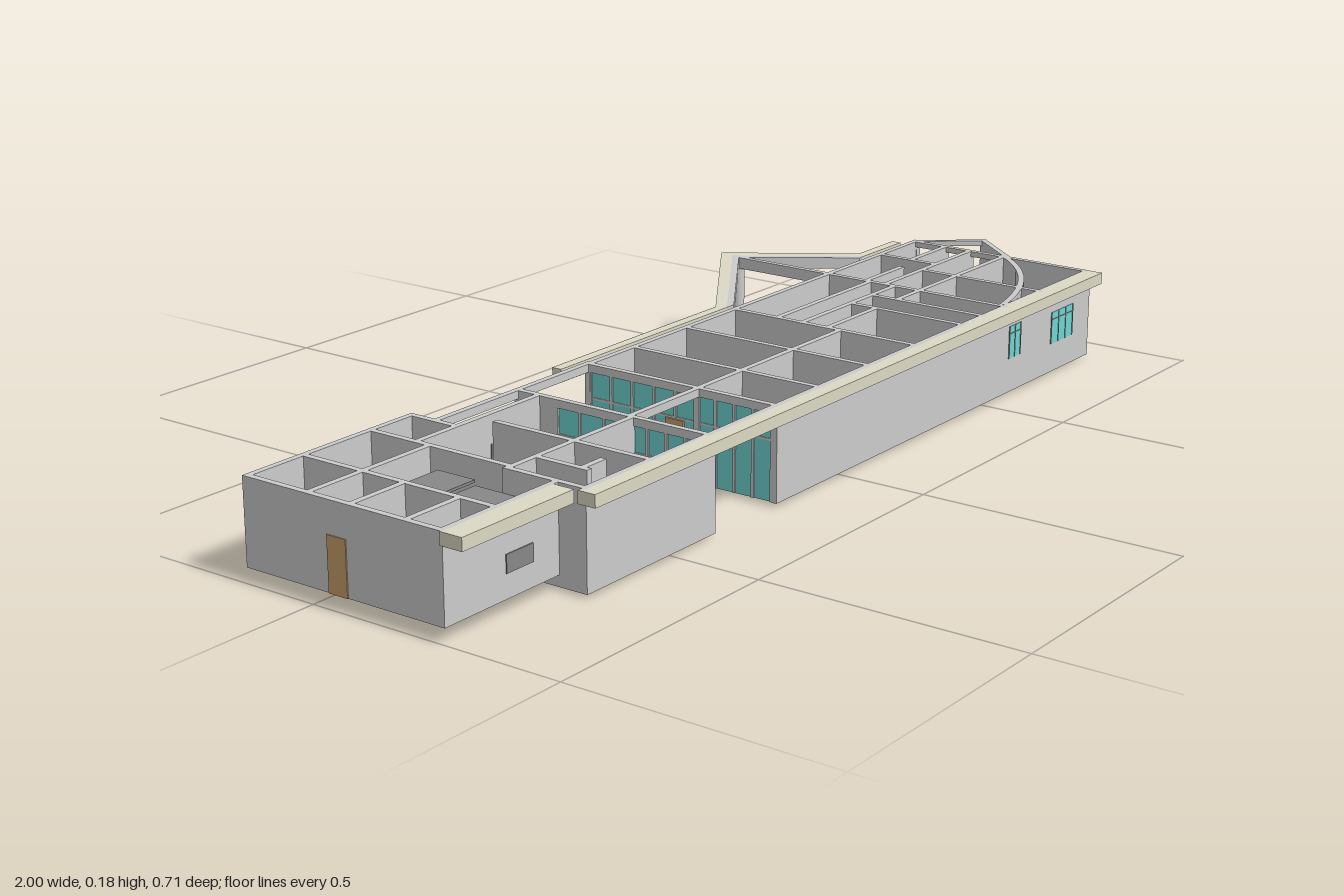
import * as THREE from 'three';

const TOP = 0.183, BASE = 0.006, T = 0.012, WING = 0.027;

export function createModel() {
  const model = new THREE.Group();
  model.name = 'building';
  const mat = (color) => new THREE.MeshStandardMaterial({ color });
  const grey = mat(0xcccccc), dark = mat(0x888888), beige = mat(0xdcd9c4);
  const teal = mat(0x6fd6d2), wood = mat(0xc8a06a);

  function add(name, geometry, material) {
    const mesh = new THREE.Mesh(geometry, material);
    mesh.name = name;
    model.add(mesh);
    return mesh;
  }
  // Upright strip from (x0, z0) to (x1, z1), between heights y0 and y1
  function wall(name, x0, z0, x1, z1, y0 = BASE, y1 = TOP, material = grey, t = T, extend = t) {
    const dx = x1 - x0, dz = z1 - z0;
    const mesh = add(name, new THREE.BoxGeometry(Math.hypot(dx, dz) + extend, y1 - y0, t), material);
    mesh.position.set((x0 + x1) / 2, (y0 + y1) / 2, (z0 + z1) / 2);
    mesh.rotation.y = -Math.atan2(dz, dx);
    return mesh;
  }
  function box(name, x0, x1, y0, y1, z0, z1, material = grey) {
    const mesh = add(name, new THREE.BoxGeometry(x1 - x0, y1 - y0, z1 - z0), material);
    mesh.position.set((x0 + x1) / 2, (y0 + y1) / 2, (z0 + z1) / 2);
    return mesh;
  }
  // Flat slab from an outline of [x, z] points
  function slab(name, points, y, h, material = grey) {
    const shape = new THREE.Shape(points.map(([x, z]) => new THREE.Vector2(x, -z)));
    const geo = new THREE.ExtrudeGeometry(shape, { depth: h, bevelEnabled: false });
    geo.rotateX(-Math.PI / 2);
    geo.translate(0, y, 0);
    return add(name, geo, material);
  }
  const walls = (name, list, y0 = BASE, y1 = TOP) =>
    list.forEach(([a, b, c, d]) => wall(name, a, b, c, d, y0, y1));

  // Floors
  slab('mainFloor', [[-0.2, -0.09], [0.9, -0.09], [0.993, 0.03], [0.9, 0.137], [0.9, 0.33], [-0.2, 0.33]], BASE, 0.006);
  slab('sideFloor', [[-0.71, -0.04], [-0.4, -0.04], [-0.4, 0.325], [-0.555, 0.325], [-0.555, 0.16], [-0.71, 0.16]], BASE, 0.006);
  box('entranceStep', -0.39, -0.34, BASE, 0.012, 0.07, 0.16);
  box('entranceStep', -0.27, -0.2, BASE, 0.012, 0.07, 0.16);

  // Outer walls of the main block
  walls('outerWall', [
    [-0.2, -0.085, 0.9, -0.085], [-0.2, 0.324, 0.9, 0.324],
    [-0.72, 0.324, -0.39, 0.324], [0.9, 0.137, 0.9, 0.324],
  ]);

  // Pointed end: one full wall, one parapet with an open top
  wall('noseWall', 0.992, 0.03, 0.905, 0.135);
  wall('noseParapet', 0.992, 0.03, 0.905, -0.083, BASE, 0.06);
  wall('noseBeam', 0.992, 0.03, 0.905, -0.083, 0.172, TOP);
  wall('innerNoseBeam', 0.9, -0.085, 0.9, 0.137, 0.172, TOP);
  box('nosePost', 0.897, 0.91, BASE, TOP, -0.091, -0.078);

  // Rooms of the main block
  walls('partition', [
    [-0.07, -0.085, -0.07, 0.324], [0.09, -0.085, 0.09, 0.324], [0.247, -0.085, 0.247, 0.324],
    [-0.2, 0.158, 0.247, 0.158], [0.247, 0.015, 0.57, 0.015], [0.247, 0.072, 0.57, 0.072],
    [0.247, 0.13, 0.415, 0.13], [0.49, 0.13, 0.57, 0.13],
    [0.415, 0.072, 0.415, 0.324], [0.49, 0.072, 0.49, 0.324], [0.572, -0.085, 0.572, 0.324],
    [0.572, 0.005, 0.7, 0.005], [0.572, 0.05, 0.9, 0.05], [0.572, 0.13, 0.9, 0.13],
    [0.71, 0.05, 0.71, 0.324], [0.765, -0.085, 0.765, 0.05], [0.765, -0.01, 0.9, -0.01],
  ]);

  // Curved partition
  const arc = new THREE.QuadraticBezierCurve(
    new THREE.Vector2(0.58, 0.315), new THREE.Vector2(0.79, 0.275), new THREE.Vector2(0.9, 0.135)).getPoints(10);
  for (let i = 0; i < 10; i++)
    wall('curvedPartition', arc[i].x, arc[i].y, arc[i + 1].x, arc[i + 1].y, BASE, TOP, grey, T, 0.002);

  // Rooms between wing and entrance
  walls('sidePartition', [
    [-0.71, -0.04, -0.4, -0.04], [-0.71, 0.165, -0.4, 0.165], [-0.552, 0, -0.552, 0.324],
    [-0.65, 0.165, -0.65, 0.27], [-0.65, 0.26, -0.6, 0.26],
    [-0.395, -0.085, -0.395, 0.0],
  ]);
  walls('entranceBeam', [
    [-0.6, -0.088, -0.2, -0.088], [-0.395, 0.158, -0.2, 0.158], [-0.395, 0.324, -0.2, 0.324],
    [-0.395, -0.085, -0.395, 0.324], [-0.2, -0.085, -0.2, 0.324],
  ], 0.168, TOP);

  // Glazed screens beside the entrance, with mullions
  function glazing(x, z0, z1, bays) {
    wall('glassScreen', x, z0, x, z1, BASE, 0.168, teal, 0.005);
    for (let i = 0; i <= bays; i++) {
      const z = z0 + (z1 - z0) * i / bays;
      box('mullion', x - 0.005, x + 0.005, BASE, 0.168, z - 0.003, z + 0.003);
    }
    box('transom', x - 0.004, x + 0.004, 0.117, 0.121, z0, z1);
  }
  glazing(-0.2, -0.08, 0.158, 5);
  glazing(-0.2, 0.158, 0.318, 4);
  glazing(-0.395, 0.158, 0.318, 4);
  glazing(-0.395, 0.0, 0.158, 3);

  // Open-bottomed wing
  walls('wingWall', [
    [-0.992, -0.141, -0.992, 0.268], [-0.992, -0.141, -0.61, -0.141], [-0.992, 0.268, -0.72, 0.268],
    [-0.868, -0.141, -0.868, 0.268], [-0.71, -0.141, -0.71, 0.165], [-0.61, -0.141, -0.61, -0.04],
    [-0.992, -0.01, -0.71, -0.01], [-0.992, 0.08, -0.868, 0.08], [-0.992, 0.195, -0.868, 0.195],
  ], WING);
  wall('wingCornerWall', -0.72, 0.165, -0.72, 0.324);
  box('darkDeck', -0.865, -0.725, 0.145, 0.15, 0.02, 0.1, dark);
  box('darkDeck', -0.865, -0.725, 0.135, 0.14, 0.1, 0.265, dark);

  // Roof edges
  box('frontRoofEdge', -0.737, 0.905, 0.16, TOP, 0.322, 0.357, beige);
  box('wingRoofEdge', -1, -0.737, 0.16, TOP, 0.27, 0.315, beige);

  // Back canopy: mitred strip with a pointed porch over a post
  slab('backCanopy', [
    [-0.26, -0.122], [0.235, -0.122], [0.578, -0.357], [0.742, -0.122], [0.87, -0.122],
    [0.87, -0.102], [0.728, -0.102], [0.57, -0.323], [0.245, -0.102], [-0.26, -0.102],
  ], 0.158, 0.025, beige);
  slab('canopyInnerBeam', [
    [0.245, -0.102], [0.57, -0.323], [0.728, -0.102], [0.712, -0.102], [0.568, -0.305], [0.268, -0.102],
  ], 0.16, 0.023);
  wall('canopyTie', 0.572, -0.315, 0.572, -0.085, 0.16, TOP);
  add('canopyPost', new THREE.CylinderGeometry(0.0125, 0.0125, 0.16, 20), grey).position.set(0.572, 0.08, -0.309);

  // Windows: pane set through the wall with a frame cross
  function windowAt(x, z, w, y0, y1, panes) {
    box('windowPane', x - w / 2, x + w / 2, y0, y1, z - 0.007, z + 0.007, teal);
    for (let i = 0; i <= panes; i++) {
      const px = x - w / 2 + w * i / panes;
      box('windowBar', px - 0.0012, px + 0.0012, y0, y1, z - 0.008, z + 0.008, dark);
    }
    box('windowBar', x - w / 2, x + w / 2, y1 - 0.016, y1 - 0.014, z - 0.008, z + 0.008, dark);
  }
  [-0.13, 0.02, 0.16, 0.31, 0.46].forEach((x) => windowAt(x, -0.085, 0.075, 0.065, 0.13, 2));
  windowAt(0.83, -0.085, 0.07, 0.065, 0.13, 2);
  windowAt(0.793, 0.324, 0.085, 0.065, 0.13, 3);
  windowAt(0.605, 0.324, 0.042, 0.075, 0.14, 2);
  windowAt(-0.5, -0.04, 0.06, 0.065, 0.13, 2);
  box('vent', -0.855, -0.79, 0.07, 0.102, 0.26, 0.276, dark);

  // Doors
  [-0.9, -0.835].forEach((x) => box('wingDoor', x - 0.018, x + 0.018, WING, 0.125, -0.149, -0.133, wood));
  box('endDoor', -1, -0.984, WING, 0.125, 0.035, 0.075, wood);
  box('porchDoor', 0.63, 0.7, 0.012, 0.125, -0.093, -0.077, wood);
  box('noseRoomDoor', 0.757, 0.773, 0.012, 0.125, -0.076, -0.038, wood);
  box('entranceDoor', -0.207, -0.193, 0.012, 0.117, 0.09, 0.13, wood);
  [0.03, 0.12, 0.23].forEach((z) => box('innerDoor', -0.876, -0.86, WING, 0.125, z - 0.02, z + 0.02, wood));

  return model;
}
